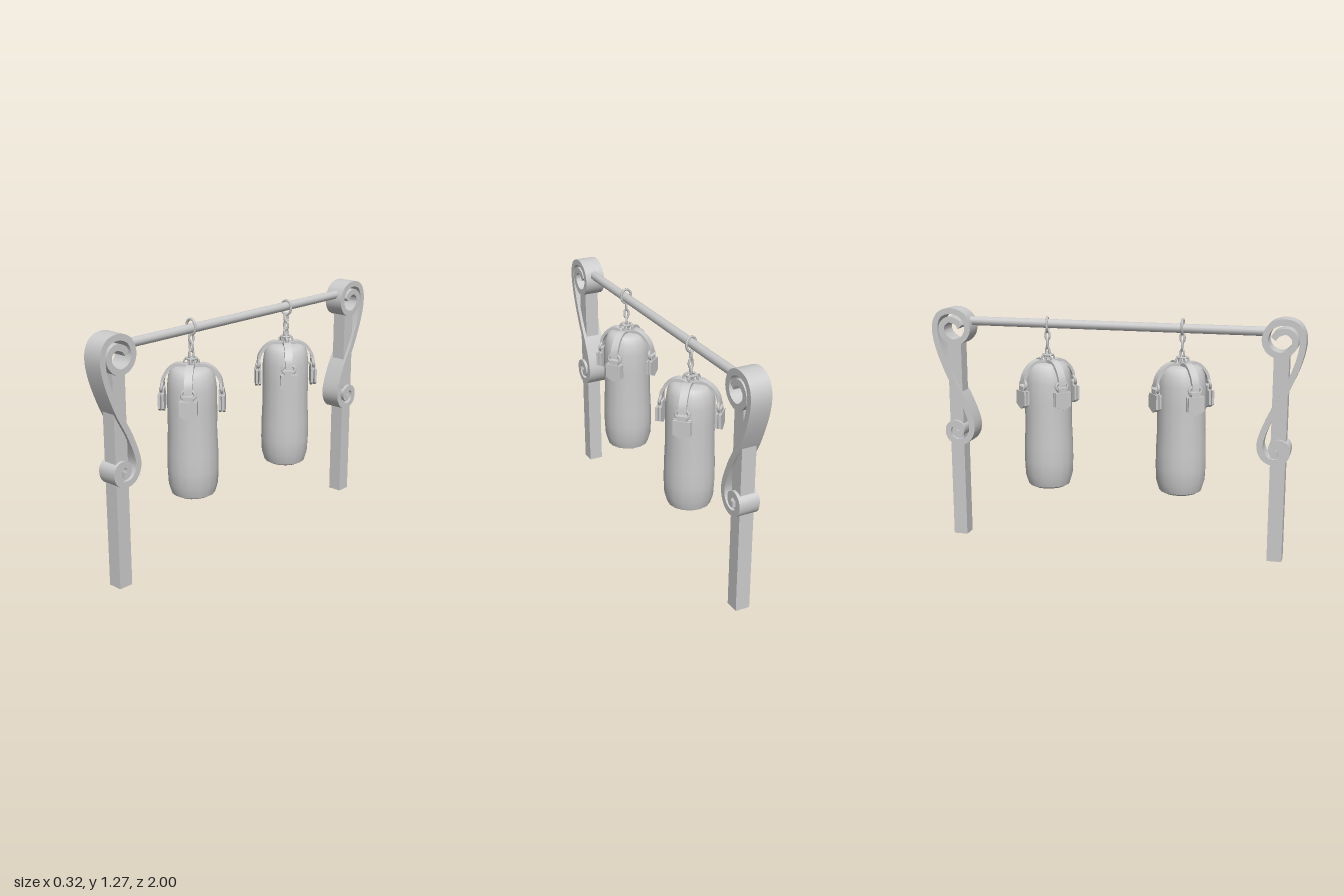
import * as THREE from 'three';
import { toCreasedNormals } from 'three/addons/utils/BufferGeometryUtils.js';

const grey = new THREE.MeshStandardMaterial({ color: 0xcccccc });

function part(name, geometry, parent, x = 0, y = 0, z = 0) {
  const mesh = new THREE.Mesh(geometry, grey);
  mesh.name = name;
  mesh.position.set(x, y, z);
  parent.add(mesh);
  return mesh;
}

// Extrudes a shape drawn in (z, y) along x, centred on x = 0
function extrudeAcross(shape, width) {
  const geo = new THREE.ExtrudeGeometry(shape, { depth: width, bevelEnabled: false });
  geo.translate(0, 0, -width / 2).rotateY(-Math.PI / 2);
  return toCreasedNormals(geo, 0.7);
}

// Flat band of constant thickness following a smooth path in (z, y)
function ribbon(points, thickness, width, samples) {
  const curve = new THREE.SplineCurve(points.map(p => new THREE.Vector2(...p)));
  const a = [], b = [];
  for (let i = 0; i <= samples; i++) {
    const p = curve.getPoint(i / samples), t = curve.getTangent(i / samples);
    const n = new THREE.Vector2(-t.y, t.x).multiplyScalar(thickness / 2);
    a.push(p.clone().add(n));
    b.unshift(p.clone().sub(n));
  }
  return extrudeAcross(new THREE.Shape([...a, ...b]), width);
}

// Oval ring: w and h are outer sizes, lying in the x-y plane
function link(w, h, tube) {
  const dx = w / 2 - tube, dy = h / 2 - tube, pts = [];
  for (let i = 0; i < 12; i++) {
    const a = i / 12 * Math.PI * 2;
    pts.push(new THREE.Vector3(Math.cos(a) * dx, Math.sin(a) * dy, 0));
  }
  return new THREE.TubeGeometry(new THREE.CatmullRomCurve3(pts, true), 24, tube, 6, true);
}

// Post with an S-shaped scroll on its outer side
function makePost() {
  const g = new THREE.Group();
  part('post', new THREE.BoxGeometry(0.077, 1.09, 0.077), g, 0, 0.545, 0.879);
  const scroll = [
    [0.837, 1.174], [0.858, 1.2], [0.906, 1.211], [0.942, 1.179], [0.938, 1.131],
    [0.885, 1.09], [0.821, 1.11], [0.795, 1.168], [0.821, 1.232], [0.885, 1.258],
    [0.954, 1.238], [0.983, 1.168], [0.965, 1.056], [0.906, 0.906], [0.832, 0.767],
    [0.786, 0.634], [0.81, 0.559], [0.869, 0.537], [0.917, 0.564], [0.922, 0.618],
    [0.885, 0.642], [0.848, 0.623], [0.853, 0.586], [0.88, 0.586]];
  part('scroll', ribbon(scroll, 0.032, 0.11, 110), g);
  return g;
}

// Strap, ring and hanging tab on one side of a bag (pointing to +z)
function makeStrap() {
  const g = new THREE.Group();
  g.name = 'strapAssembly';
  part('strap', ribbon([[0.015, 1.004], [0.065, 1.014], [0.11, 0.99], [0.142, 0.945], [0.15, 0.9]],
    0.016, 0.04, 14), g);
  const ring = part('strapRing', link(0.084, 0.065, 0.008), g, 0, 0.895, 0.15);
  ring.rotation.x = -0.15;
  part('tabLoop', new THREE.BoxGeometry(0.05, 0.035, 0.026), g, 0, 0.872, 0.15);
  const tab = new THREE.Shape([[-0.045, 0.865], [-0.045, 0.79], [0, 0.768], [0.045, 0.79], [0.045, 0.865]]
    .map(p => new THREE.Vector2(...p)));
  for (const [name, z] of [['innerTab', 0.137], ['outerTab', 0.156]])
    part(name, new THREE.ExtrudeGeometry(tab, { depth: 0.012, bevelEnabled: false }), g, 0, 0, z);
  return g;
}

// Punching bag with straps and chain
function makeBag() {
  const g = new THREE.Group();
  g.name = 'punchingBag';
  const profile = [[0, 0.325], [0.09, 0.326], [0.112, 0.338], [0.128, 0.39], [0.132, 0.47], [0.131, 0.56],
    [0.126, 0.68], [0.127, 0.8], [0.126, 0.9], [0.118, 0.96], [0.1, 0.995], [0.08, 1.005], [0, 1.005]];
  part('bagBody', toCreasedNormals(new THREE.LatheGeometry(
    profile.map(p => new THREE.Vector2(...p)), 16), 0.75), g);
  for (let i = 0; i < 4; i++) {
    const strap = makeStrap();
    strap.rotation.y = Math.PI / 4 + i * Math.PI / 2;
    g.add(strap);
    // small eyelets gathering the straps under the chain
    const a = strap.rotation.y;
    const eye = part('eyelet', link(0.032, 0.045, 0.005), g, Math.sin(a) * 0.026, 1.027, Math.cos(a) * 0.026);
    eye.rotation.y = a + Math.PI / 2;
  }
  const gather = part('gatherRing', new THREE.TorusGeometry(0.026, 0.006, 6, 16), g, 0, 1.045, 0);
  gather.rotation.x = Math.PI / 2;
  // chain: [centre height, outer width, outer height, turn]
  const chain = [[1.065, 0.034, 0.056, 1.2], [1.105, 0.036, 0.062, 0.1], [1.148, 0.036, 0.06, 1.4]];
  for (const [y, w, h, turn] of chain)
    part('chainLink', link(w, h, 0.006), g, 0, y, 0).rotation.y = turn;
  part('barLoop', link(0.072, 0.092, 0.007), g, 0, 1.204, 0).rotation.y = 0.15;
  return g;
}

export function createModel() {
  const model = new THREE.Group();
  model.name = 'punchingBagStand';

  for (const [name, turn] of [['frontPost', 0], ['backPost', Math.PI]]) {
    const post = makePost();
    post.name = name;
    post.rotation.y = turn;
    post.position.x = -0.004;
    model.add(post);
  }

  const bar = part('crossbar', new THREE.CylinderGeometry(0.024, 0.024, 1.6, 12), model, -0.003, 1.203, 0);
  bar.rotation.x = Math.PI / 2;

  for (const [z, y, turn] of [[0.368, 0.008, -0.12], [-0.361, -0.008, 0.03]]) {
    const bag = makeBag();
    bag.position.set(-0.003, y, z);
    bag.rotation.y = turn;
    model.add(bag);
  }
  return model;
}
